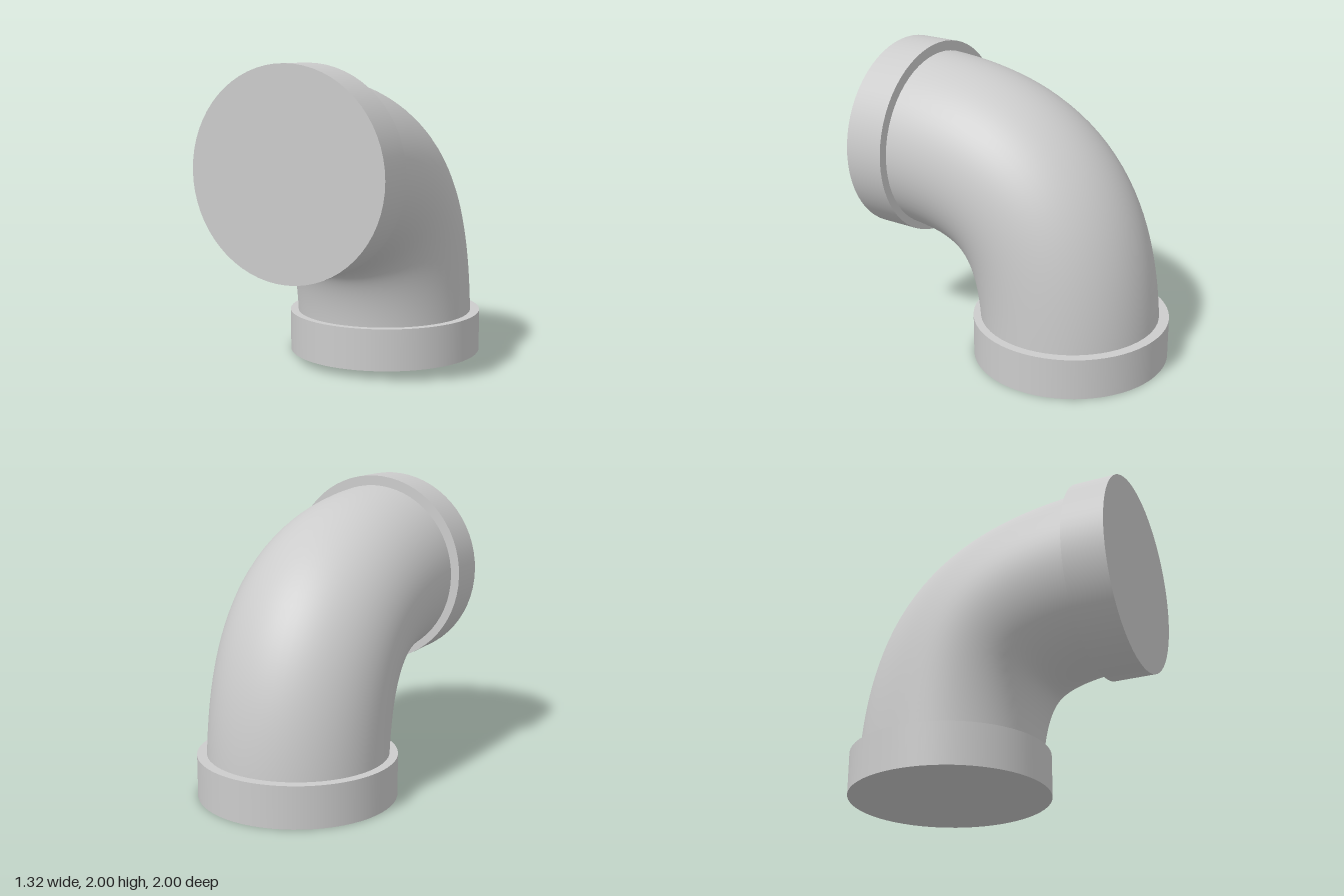
import * as THREE from 'three';

const PIPE_R = 0.6, COLLAR_R = 0.66, COLLAR_H = 0.28;
const AXIS_Z = -0.34, AXIS_Y = 1.34, BEND = 1.34, HANDLE = 0.75;

export function createModel() {
  const group = new THREE.Group();
  const material = new THREE.MeshStandardMaterial({ color: 0xcccccc });

  function add(name, geometry) {
    const mesh = new THREE.Mesh(geometry, material);
    mesh.name = name;
    group.add(mesh);
    return mesh;
  }

  // Quarter-turn pipe, from the floor up and out to the front
  const path = new THREE.CubicBezierCurve3(
    new THREE.Vector3(0, 0.01, AXIS_Z),
    new THREE.Vector3(0, BEND * HANDLE, AXIS_Z),
    new THREE.Vector3(0, AXIS_Y, 1 - BEND * HANDLE),
    new THREE.Vector3(0, AXIS_Y, 0.99)
  );
  add('elbowPipe', new THREE.TubeGeometry(path, 40, PIPE_R, 64));

  // Closed collars around both ends
  const collar = new THREE.CylinderGeometry(COLLAR_R, COLLAR_R, COLLAR_H, 64);
  add('bottomCollar', collar).position.set(0, COLLAR_H / 2, AXIS_Z);
  const front = add('frontCollar', collar);
  front.rotation.x = Math.PI / 2;
  front.position.set(0, AXIS_Y, 1 - COLLAR_H / 2);

  return group;
}
